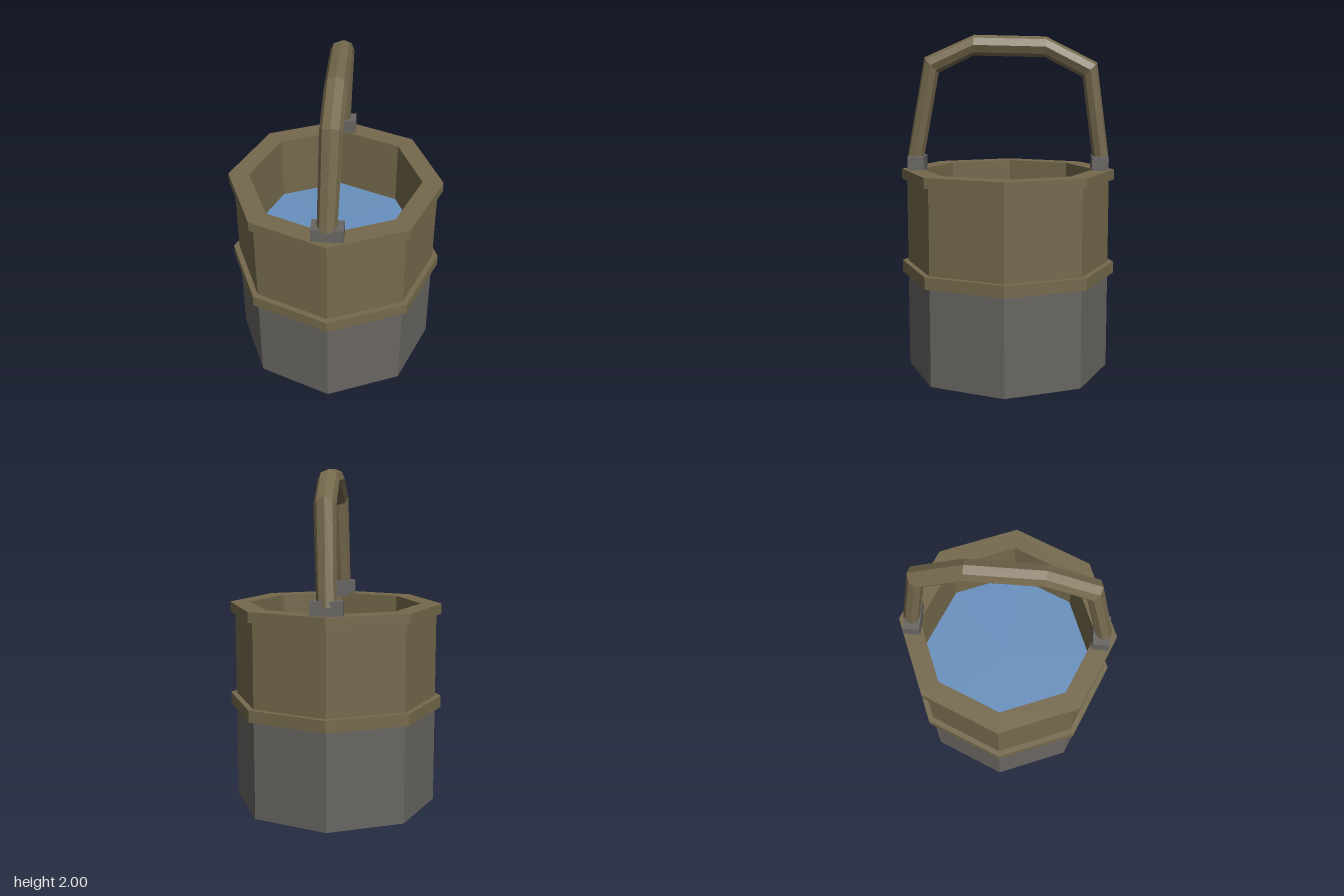
import * as THREE from 'three';

const SIDES = 8;

export function createModel() {
  const mat = (name, color, side = THREE.FrontSide) =>
    Object.assign(new THREE.MeshStandardMaterial({ color, flatShading: true, side }), { name });
  const wood = mat('wood', 0x75694d);
  const iron = mat('iron', 0x686562);
  const water = mat('water', 0x6890be);

  const bucket = new THREE.Group();
  bucket.name = 'bucket';
  const add = (name, geometry, material) => {
    const mesh = new THREE.Mesh(geometry, material);
    mesh.name = name;
    bucket.add(mesh);
    return mesh;
  };
  // Octagonal part turned from a [radius, height] profile, corners on the axes
  const turned = (name, profile, material) =>
    add(name, new THREE.LatheGeometry(profile.map(([r, y]) => new THREE.Vector2(r, y)), SIDES), material);

  // Vessel: iron lower half, wooden upper half with rim and inner wall
  const R = 0.605, INNER = 0.512;
  turned('lowerWall', [[R, 0], [R, 0.59]], iron);
  turned('bottom', [[0, 0], [R, 0]], wood);
  turned('upperWall', [[R, 0.59], [R, 1.15]], wood);
  turned('middleBand', [[R, 0.58], [0.64, 0.58], [0.64, 0.65], [R, 0.65]], wood);
  turned('rim', [[R, 1.15], [0.635, 1.15], [0.635, 1.21], [INNER, 1.21]], wood);
  turned('innerWall', [[INNER, 1.21], [INNER, 0.08], [0, 0.08]], wood);

  // Water surface
  const surface = add('water', new THREE.CircleGeometry(INNER, SIDES), water);
  surface.rotation.x = -Math.PI / 2;
  surface.position.y = 0.8;

  // Handle brackets on the rim
  for (const [name, z] of [['frontBracket', 0.54], ['backBracket', -0.547]]) {
    add(name, new THREE.BoxGeometry(0.18, 0.1, 0.096), iron).position.set(0, 1.24, z);
  }

  // Handle: eight-sided rings [outer z, outer y, inner z, inner y, centre x, half width]
  const rings = [
    [0.60, 1.28, 0.50, 1.28, -0.002, 0.056],
    [0.49, 1.87, 0.405, 1.78, 0.013, 0.062],
    [0.195, 2.0, 0.2, 1.88, 0.018, 0.062],
    [-0.225, 1.99, -0.22, 1.87, 0.018, 0.062],
    [-0.525, 1.84, -0.44, 1.755, 0.015, 0.062],
    [-0.605, 1.255, -0.505, 1.275, 0, 0.056],
  ];
  add('handle', handleGeometry(rings), wood);

  return bucket;
}

// Skins the rings and closes both ends with a ring shrunk to its centre
function handleGeometry(rings) {
  const position = [], index = [];
  const addRing = ([oz, oy, iz, iy, cx, half], scale) => {
    for (let i = 0; i < SIDES; i++) {
      const a = (i / SIDES) * Math.PI * 2;
      const c = (Math.cos(a) * scale) / 2, s = Math.sin(a) * scale;
      position.push(cx + half * s, (oy + iy) / 2 + (oy - iy) * c, (oz + iz) / 2 + (oz - iz) * c);
    }
  };
  addRing(rings[0], 0);
  rings.forEach((ring) => addRing(ring, 1));
  addRing(rings[rings.length - 1], 0);
  for (let r = 0; r <= rings.length; r++) {
    for (let i = 0; i < SIDES; i++) {
      const a = r * SIDES + i, b = r * SIDES + ((i + 1) % SIDES);
      index.push(a, b, a + SIDES, b, b + SIDES, a + SIDES);
    }
  }
  const geometry = new THREE.BufferGeometry();
  geometry.setAttribute('position', new THREE.Float32BufferAttribute(position, 3));
  geometry.setIndex(index);
  geometry.computeVertexNormals();
  return geometry;
}
